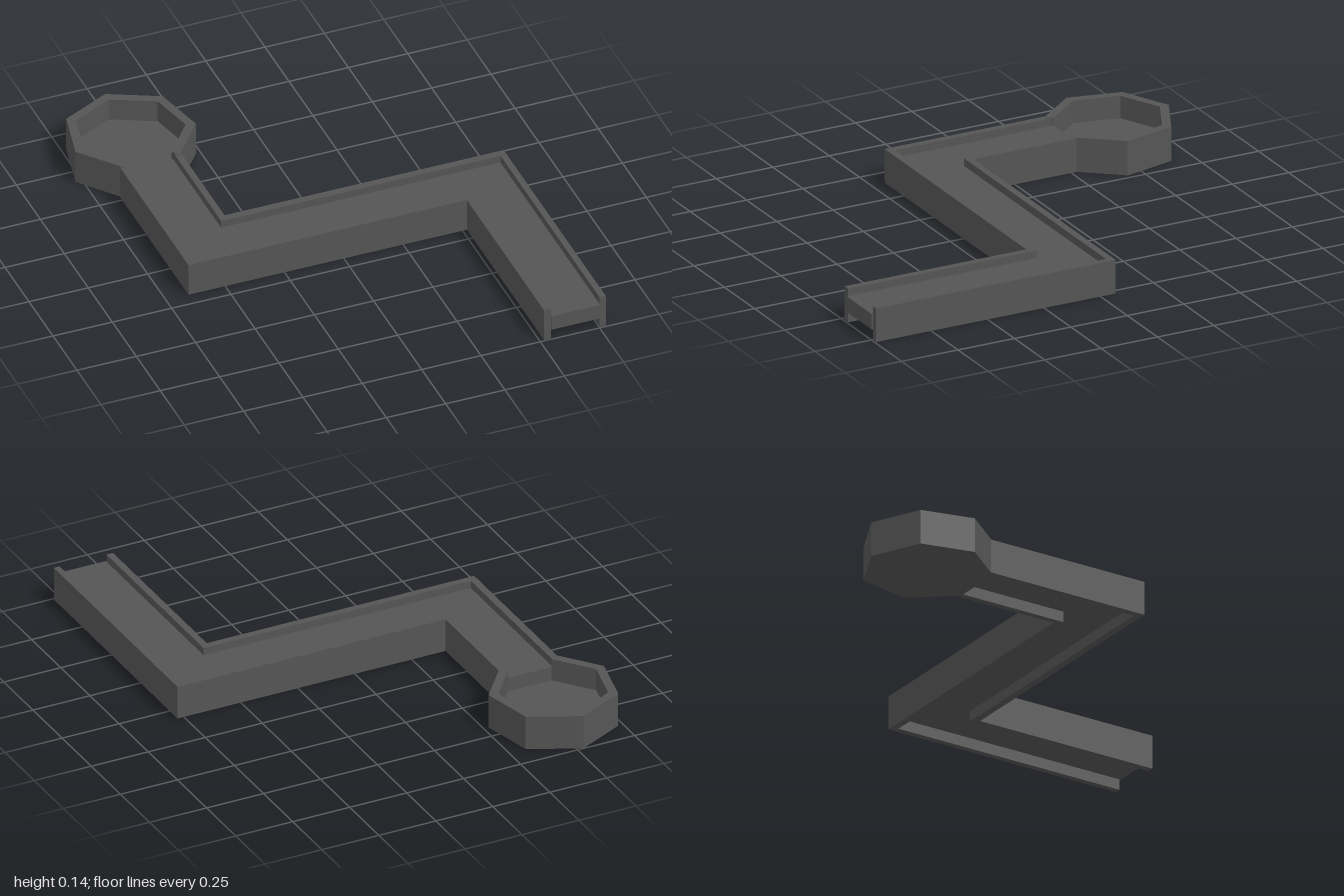
import * as THREE from 'three';

const stone = new THREE.MeshStandardMaterial({ color: 0x555555, flatShading: true });
stone.name = 'dark grey';

// Prism from a plan outline of [x, z] points between two heights
function slab(name, points, y0, y1) {
  const shape = new THREE.Shape(points.map(([x, z]) => new THREE.Vector2(x, -z)));
  const geo = new THREE.ExtrudeGeometry(shape, { depth: y1 - y0, bevelEnabled: false });
  geo.rotateX(-Math.PI / 2);
  geo.translate(0, y0, 0);
  const mesh = new THREE.Mesh(geo, stone);
  mesh.name = name;
  return mesh;
}

// Heptagon corners; the list starts and ends beside the edge facing +z
function heptagon(radius) {
  const points = [];
  for (let i = 0; i < 7; i++) {
    const a = Math.PI / 7 + (i * 2 * Math.PI) / 7;
    points.push([-0.525 + radius * Math.sin(a), -0.74 + radius * Math.cos(a)]);
  }
  return points;
}

export function createModel() {
  const model = new THREE.Group();
  model.name = 'channel';

  const railTop = 0.142, deckTop = 0.11, floorTop = 0.05, end = 0.994;

  // Inner faces of the two rails, from basin to open end
  const innerA = [[-0.625, -0.542], [-0.625, 0.16], [0.547, 0.16], [0.547, end]];
  const innerB = [[-0.425, -0.542], [-0.425, -0.038], [0.752, -0.038], [0.752, end]];
  const outerA = [[-0.655, -0.525], [-0.655, 0.19], [0.518, 0.19], [0.518, end]];
  const outerB = [[-0.398, -0.525], [-0.398, -0.067], [0.778, -0.067], [0.778, end]];

  // Side rails standing above and below the deck
  model.add(slab('frontRail', [...outerA, ...innerA.slice().reverse()], 0, railTop));
  model.add(slab('backRail', [...outerB, ...innerB.slice().reverse()], 0, railTop));

  // Deck between the rails, slightly longer than them
  model.add(slab('deck', [
    [-0.625, -0.506], innerA[1], innerA[2], [0.547, 1],
    [0.752, 1], innerB[2], innerB[1], [-0.425, -0.506],
  ], 0.045, deckTop));

  // Seven-sided basin with a sunken floor, open towards the channel
  const outer = heptagon(0.26), inner = heptagon(0.22);
  const basin = new THREE.Group();
  basin.name = 'basin';
  basin.add(slab('basinFloor', outer, 0, floorTop));
  basin.add(slab('basinWall', [...outer, ...inner.slice().reverse()], floorTop, 0.145));
  basin.add(slab('basinSill', [outer[0], inner[0], inner[6], outer[6]], floorTop, deckTop));
  model.add(basin);

  return model;
}
